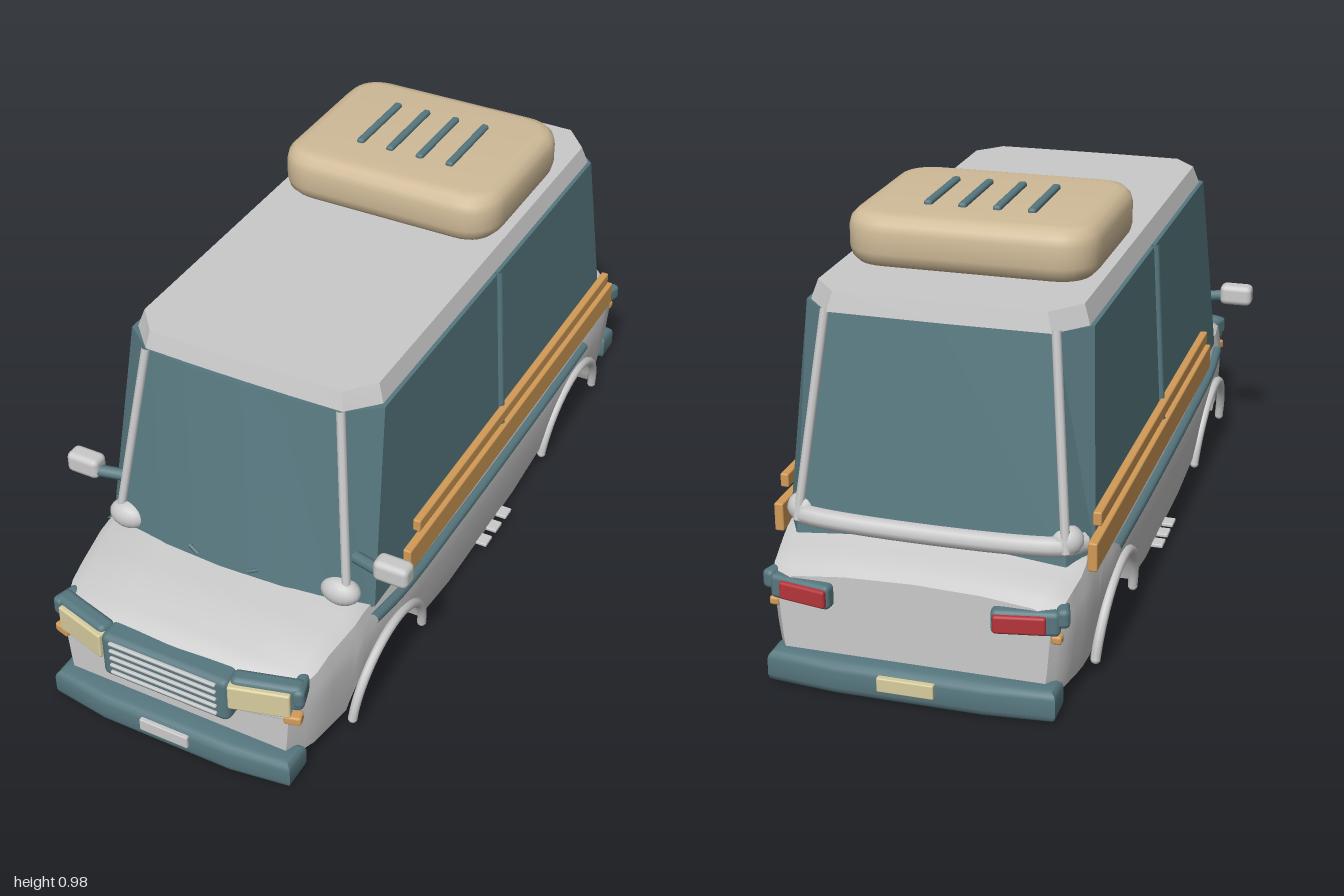
import * as THREE from 'three';
import { toCreasedNormals } from 'three/addons/utils/BufferGeometryUtils.js';
import { RoundedBoxGeometry } from 'three/addons/geometries/RoundedBoxGeometry.js';

const V = (x, y, z) => new THREE.Vector3(x, y, z);

// Linear lookup in a short list of [key, value] pairs
function lookup(table, k) {
  if (k <= table[0][0]) return table[0][1];
  for (let i = 1; i < table.length; i++) {
    const [a, u] = table[i - 1], [b, v] = table[i];
    if (k <= b) return u + (v - u) * (k - a) / (b - a);
  }
  return table[table.length - 1][1];
}

// Closed skin through matching rings, with both ends capped
function loft(rings, crease) {
  const n = rings[0].length, pos = [], idx = [];
  rings.forEach(r => r.forEach(p => pos.push(p.x, p.y, p.z)));
  for (let i = 0; i < rings.length - 1; i++)
    for (let j = 0; j < n; j++) {
      const a = i * n + j, b = i * n + (j + 1) % n;
      idx.push(a, b, a + n, b, b + n, a + n);
    }
  [0, rings.length - 1].forEach(i => {
    const c = rings[i].reduce((s, p) => s.add(p), V(0, 0, 0)).divideScalar(n);
    const ci = pos.length / 3;
    pos.push(c.x, c.y, c.z);
    for (let j = 0; j < n; j++) {
      const a = i * n + j, b = i * n + (j + 1) % n;
      i ? idx.push(ci, a, b) : idx.push(ci, b, a);
    }
  });
  const g = new THREE.BufferGeometry();
  g.setAttribute('position', new THREE.Float32BufferAttribute(pos, 3));
  g.setIndex(idx);
  return toCreasedNormals(g, crease);
}

// Horizontal slab with bevelled rims from an x/z outline shape
function slab(shape, y0, y1, bevel, segments = 3) {
  const g = new THREE.ExtrudeGeometry(shape, {
    depth: y1 - y0 - 2 * bevel, bevelThickness: bevel, bevelSize: bevel, bevelSegments: segments, curveSegments: 8
  });
  g.rotateX(-Math.PI / 2).translate(0, y0 + bevel, 0);
  return toCreasedNormals(g, 0.6);
}

const tube = (pts, r, seg = 16) => new THREE.TubeGeometry(new THREE.CatmullRomCurve3(pts), seg, r, 8, false);

// Lower body: width, top and underside vary along z
const ARCH = [0.555, -0.555], ARCH_R = 0.18;
const widthZ = [[-0.94, 0.31], [-0.9, 0.338], [-0.8, 0.36], [-0.6, 0.372], [0.5, 0.372], [0.7, 0.362], [0.85, 0.335], [0.93, 0.3]];
const topZ = [[-0.94, 0.265], [-0.9, 0.288], [-0.82, 0.31], [-0.76, 0.335], [0.66, 0.335], [0.8, 0.315], [0.9, 0.285], [0.93, 0.268]];
const baseZ = [[-0.94, 0.04], [-0.375, 0.055], [-0.2, 0.022], [0.2, 0.022], [0.375, 0.055], [0.735, 0.05], [0.93, 0.04]];
const widthY = [[0, 0.93], [0.1, 0.975], [0.2, 1], [0.25, 0.995], [0.31, 0.955]];

function bodyRing(z) {
  const w = lookup(widthZ, z), top = lookup(topZ, z);
  let low = lookup(baseZ, z);
  for (const c of ARCH) {
    const d = ARCH_R ** 2 - (z - c) ** 2;
    if (d > 0) low = Math.max(low, 0.02 + Math.sqrt(d));
  }
  const half = [];
  for (let k = 0; k <= 6; k++) {
    const y = low + (top - 0.028 - low) * k / 6;
    half.push([w * lookup(widthY, y), y]);
  }
  half.push([w * 0.88, top - 0.01], [w * 0.5, top + 0.003]);
  const left = half.map(([x, y]) => V(x, y, z));
  const right = half.map(([x, y]) => V(-x, y, z)).reverse();
  return [V(0, low, z), ...left, V(0, top + 0.008, z), ...right];
}

function bodyGeometry() {
  const zs = [-0.94, -0.92, -0.9, -0.86, -0.82, -0.79, -0.76, -0.2, 0, 0.2, 0.76, 0.8, 0.85, 0.88, 0.9, 0.915, 0.93];
  for (const c of ARCH) for (let i = 0; i <= 20; i++) zs.push(c + ARCH_R * Math.cos(Math.PI * i / 20));
  return loft(zs.sort((a, b) => a - b).map(bodyRing), 0.6);
}

// Cabin outline with cut corners and a bowed front
function cabinRing(y, xf, xs, zc, zf, zs, rs, rb, xr) {
  const half = [[xf * 0.5, zc - (zc - zf) * 0.25], [xf, zf], [xs, zs], [xs, rs], [xr, rb]];
  return [V(0, y, zc), ...half.map(([x, z]) => V(x, y, z)), V(0, y, rb - 0.003), ...half.map(([x, z]) => V(-x, y, z)).reverse()];
}

export function createModel() {
  const model = new THREE.Group();
  model.name = 'van';
  const mat = (name, color) => {
    const m = new THREE.MeshStandardMaterial({ color });
    m.name = name;
    return m;
  };
  const grey = mat('bodyGrey', 0xcacaca), teal = mat('slateTeal', 0x57777f), beige = mat('luggageBeige', 0xd0bb98);
  const wood = mat('woodOrange', 0xd29b58), cream = mat('lampCream', 0xd8cd9f), red = mat('lampRed', 0xb5343a);

  const add = (name, geometry, material, x = 0, y = 0, z = 0, ry = 0) => {
    const m = new THREE.Mesh(geometry, material);
    m.name = name;
    m.position.set(x, y, z);
    m.rotation.y = ry;
    model.add(m);
    return m;
  };
  const box = (name, material, w, h, d, x, y, z, r = 0.006, ry = 0) =>
    add(name, new RoundedBoxGeometry(w, h, d, 2, r), material, x, y, z, ry);

  // Shell
  add('body', bodyGeometry(), grey);
  add('cabinGlass', loft([
    cabinRing(0.3, 0.312, 0.358, 0.715, 0.672, 0.625, -0.745, -0.822, 0.312),
    cabinRing(0.8, 0.252, 0.33, 0.6, 0.585, 0.525, -0.665, -0.728, 0.262)], 0.2), teal);
  add('roof', loft([
    cabinRing(0.8, 0.255, 0.32, 0.587, 0.583, 0.515, -0.665, -0.738, 0.255),
    cabinRing(0.845, 0.248, 0.305, 0.575, 0.572, 0.505, -0.655, -0.728, 0.243)], 0.2), grey);
  add('rearWindowLedge', tube([V(-0.335, 0.335, -0.76), V(-0.3, 0.34, -0.805), V(0, 0.335, -0.82), V(0.3, 0.34, -0.805), V(0.335, 0.335, -0.76)], 0.024, 32), grey);

  // Roof luggage box with straps
  const rr = new THREE.Shape(), hx = 0.255, hz = 0.2, c = 0.06, zMid = 0.32;
  rr.moveTo(-hx + c, zMid - hz);
  rr.lineTo(hx - c, zMid - hz);
  rr.quadraticCurveTo(hx, zMid - hz, hx, zMid - hz + c);
  rr.lineTo(hx, zMid + hz - c);
  rr.quadraticCurveTo(hx, zMid + hz, hx - c, zMid + hz);
  rr.lineTo(-hx + c, zMid + hz);
  rr.quadraticCurveTo(-hx, zMid + hz, -hx, zMid + hz - c);
  rr.lineTo(-hx, zMid - hz + c);
  rr.quadraticCurveTo(-hx, zMid - hz, -hx + c, zMid - hz);
  add('luggageBox', slab(rr, 0.842, 0.968, 0.039), beige);
  for (let i = 0; i < 4; i++) box('luggageStrip', teal, 0.02, 0.02, 0.22, -0.123 + i * 0.082, 0.968, -0.325, 0.007);

  // Bumpers and plates
  const bumper = (x, dir, zs) => slab(new THREE.Shape(
    [[-x, zs[0]], [-x, zs[1]], [-0.17, zs[2]], [0.17, zs[2]], [x, zs[1]], [x, zs[0]]].map(([a, z]) => new THREE.Vector2(a, -dir * z))), 0, 0.078, 0.02);
  add('frontBumper', bumper(0.3, 1, [0.91, 0.95, 0.968]), teal);
  add('rearBumper', bumper(0.31, -1, [0.925, 0.955, 0.968]), teal);
  box('frontPlate', grey, 0.13, 0.034, 0.016, 0, 0.05, 0.988, 0.003);
  box('rearPlate', cream, 0.13, 0.034, 0.016, 0, 0.05, -0.992, 0.003);

  // Grille
  box('grille', teal, 0.34, 0.127, 0.07, 0, 0.212, 0.942, 0.018);
  for (let i = 0; i < 5; i++) box('grilleBar', grey, 0.284, 0.008, 0.01, 0, 0.262 - i * 0.0222, 0.979, 0.003);

  // Paired parts
  for (const s of [1, -1]) {
    box('headlightSurround', teal, 0.17, 0.07, 0.045, s * 0.245, 0.246, 0.922, 0.015, s * 0.27);
    box('headlightCorner', teal, 0.03, 0.05, 0.07, s * 0.313, 0.252, 0.895, 0.012, s * 0.3);
    box('headlight', cream, 0.145, 0.068, 0.035, s * 0.235, 0.234, 0.942, 0.005, s * 0.27);
    box('frontTrim', grey, 0.15, 0.012, 0.02, s * 0.23, 0.186, 0.935, 0.004, s * 0.2);
    box('frontIndicator', wood, 0.042, 0.024, 0.03, s * 0.308, 0.189, 0.922, 0.006, s * 0.27);

    box('rearLampHousing', teal, 0.15, 0.058, 0.035, s * 0.255, 0.222, -0.937, 0.012, -s * 0.18);
    box('rearLampCorner', teal, 0.03, 0.045, 0.07, s * 0.328, 0.235, -0.905, 0.012, -s * 0.3);
    box('rearLamp', red, 0.115, 0.042, 0.025, s * 0.245, 0.222, -0.953, 0.006, -s * 0.18);
    box('rearIndicator', wood, 0.024, 0.02, 0.024, s * 0.322, 0.185, -0.928, 0.006);

    // Window pillars and divider
    add('frontPillar', tube([V(s * 0.252, 0.805, 0.586), V(s * 0.31, 0.33, 0.672)], 0.011, 2), grey);
    add('rearPillar', tube([V(s * 0.262, 0.805, -0.728), V(s * 0.31, 0.33, -0.818)], 0.011, 2), grey);
    add('windowDivider', tube([V(s * 0.331, 0.805, -0.075), V(s * 0.358, 0.33, -0.075)], 0.01, 2), teal);
    add('pillarFoot', new THREE.SphereGeometry(1, 20, 12), grey, s * 0.288, 0.35, 0.66).scale.set(0.05, 0.036, 0.034);
    add('rearPillarFoot', new THREE.SphereGeometry(1, 20, 12), grey, s * 0.305, 0.35, -0.79).scale.set(0.038, 0.036, 0.034);

    // Mirrors and wipers
    add('mirrorArm', tube([V(s * 0.31, 0.438, 0.63), V(s * 0.39, 0.44, 0.65)], 0.015, 2), teal);
    box('mirror', grey, 0.088, 0.056, 0.05, s * 0.413, 0.448, 0.642, 0.015);
    add('wiper', tube([V(s * 0.067, 0.348, 0.704), V(s * 0.094, 0.36, 0.698)], 0.005, 2), teal);

    // Side planks and moulding
    box('lowerPlank', wood, 0.022, 0.068, 1.275, s * 0.364, 0.319, -0.162, 0.004);
    box('upperPlank', wood, 0.02, 0.033, 1.185, s * 0.364, 0.392, -0.167, 0.004);
    add('sideMoulding', tube([V(s * 0.362, 0.274, 0.64), V(s * 0.37, 0.26, 0.5), V(s * 0.372, 0.253, 0.2),
      V(s * 0.372, 0.25, -0.3), V(s * 0.37, 0.252, -0.61)], 0.014, 30), teal);

    // Wheel arch trims and sill steps
    for (const cz of ARCH) {
      const pts = [];
      for (let i = 0; i <= 16; i++) {
        const a = Math.PI * (0.03 + 0.94 * i / 16), y = 0.02 + 0.183 * Math.sin(a);
        pts.push(V(s * (0.355 + 0.1 * y), y, cz + 0.183 * Math.cos(a)));
      }
      add('wheelArchTrim', tube(pts, 0.012, 40), grey);
      for (const e of [1, -1]) add('archTrimEnd', new THREE.SphereGeometry(0.012, 10, 8), grey, s * 0.359, 0.037, cz + e * 0.182);
    }
    for (let i = 0; i < 3; i++) box('sillStep', grey, 0.05, 0.01, 0.04, s * 0.354, 0.025, 0.015 - i * 0.062, 0.003);
  }
  return model;
}
